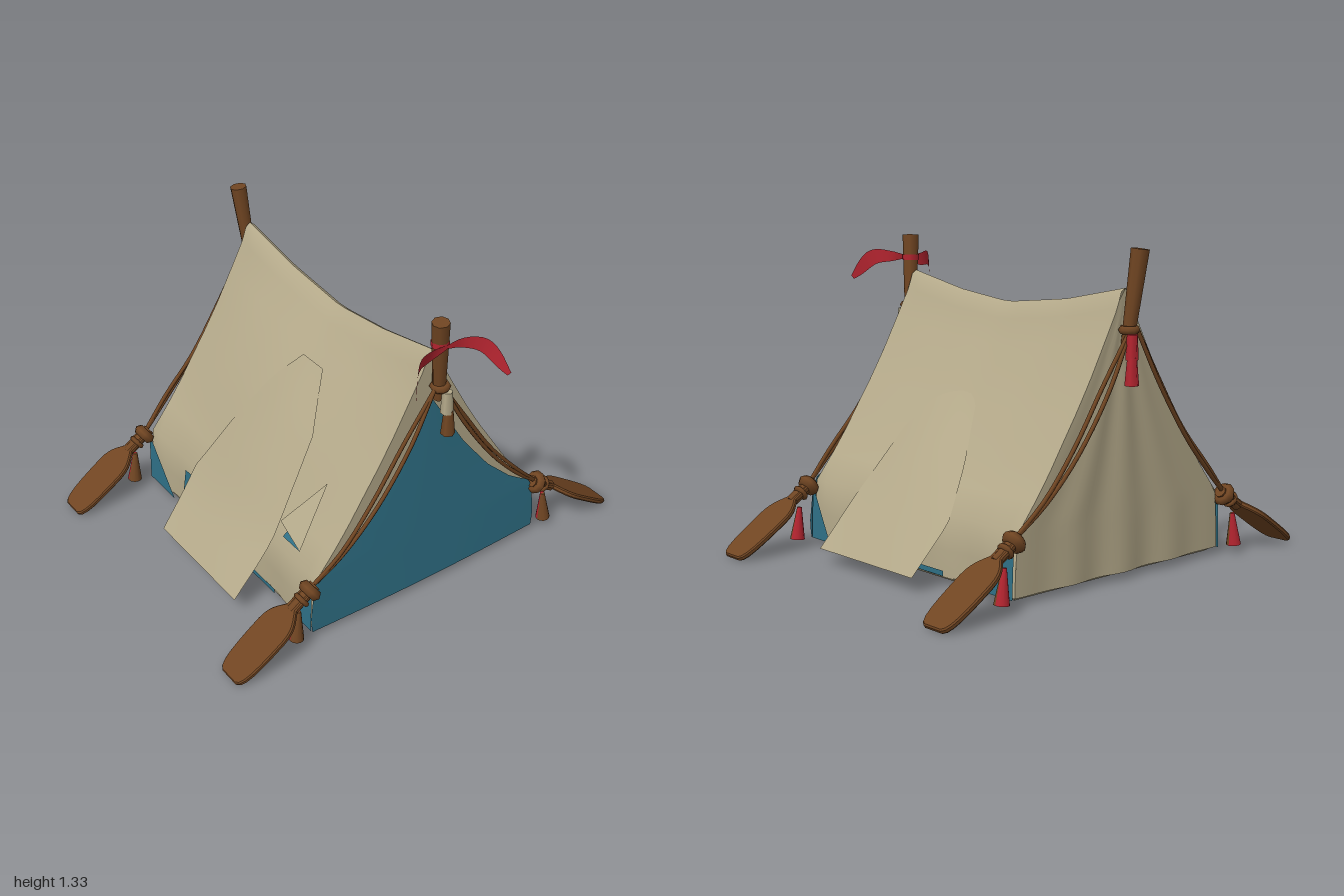
import * as THREE from 'three';
import { toCreasedNormals } from 'three/addons/utils/BufferGeometryUtils.js';

const material = (name, color) => {
  const m = new THREE.MeshStandardMaterial({ color, side: THREE.DoubleSide });
  m.name = name;
  return m;
};
const canvas = material('canvas', 0xb3a889);
const blue = material('blueCloth', 0x2f7086);
const wood = material('wood', 0x704522);
const red = material('redCloth', 0xb3242f);

const V = (x, y, z) => new THREE.Vector3(x, y, z);

// Surface patch from a rule f(u, v), both 0..1
function patch(nu, nv, f) {
  const pos = [], idx = [];
  for (let j = 0; j <= nv; j++)
    for (let i = 0; i <= nu; i++) pos.push(...f(i / nu, j / nv));
  for (let j = 0; j < nv; j++)
    for (let i = 0; i < nu; i++) {
      const a = j * (nu + 1) + i, b = a + nu + 1;
      idx.push(a, a + 1, b, a + 1, b + 1, b);
    }
  const g = new THREE.BufferGeometry();
  g.setAttribute('position', new THREE.Float32BufferAttribute(pos, 3));
  g.setIndex(idx);
  return toCreasedNormals(g, 0.7);
}

// Linear interpolation through [key, value] pairs with rising keys
function lerp(table, k) {
  for (let i = 1; i < table.length; i++) {
    const [k0, a] = table[i - 1], [k1, b] = table[i];
    if (k <= k1) return a + (b - a) * Math.max(0, (k - k0) / (k1 - k0));
  }
  return table[table.length - 1][1];
}

const FRONT = 0.57, BACK = -0.73;
// Half width of the tent and of the front panel by height
const tentWidth = [[0.04, 0.584], [0.15, 0.58], [0.29, 0.567], [0.4, 0.478], [0.5, 0.405], [0.6, 0.34],
  [0.71, 0.267], [0.83, 0.193], [0.98, 0.11], [1.1, 0.045], [1.165, 0.022], [1.18, 0]];
const panelWidth = [[0.035, 0.595], [0.1, 0.602], [0.29, 0.578], [0.37, 0.45], [0.5, 0.31],
  [0.68, 0.17], [0.95, 0]];
const ridge = [[BACK, 1.18], [-0.4, 1.115], [-0.05, 1.08], [0.25, 1.115], [FRONT, 1.18]];

export function createModel() {
  const root = new THREE.Group();
  const add = (name, geo, mat, parent = root) => {
    const m = new THREE.Mesh(geo, mat);
    m.name = name;
    parent.add(m);
    return m;
  };
  const triangle = (name, a, b, c, mat) => {
    const g = new THREE.BufferGeometry().setFromPoints([a, b, c]);
    g.computeVertexNormals();
    return add(name, g, mat);
  };

  // Canvas roof and low walls with a sagging ridge, one side billowing out
  const n = tentWidth.length - 1;
  add('canvasRoof', patch(2 * n, 20, (u, v) => {
    const k = Math.round(u * 2 * n) - n;
    const [y, w] = tentWidth[n - Math.abs(k)];
    const z = BACK + (FRONT - BACK) * v;
    const h = lerp(ridge, z);
    const slope = Math.max(0, (y - 0.29) / 0.89);
    const billow = k < 0 ? 0.055 * Math.sin(Math.PI * v) * Math.sin(Math.PI * slope) : 0;
    const wave = y < 0.2 ? 0.005 * Math.sin(v * 23) : 0;
    const top = y > 0.29 ? 0.29 + slope * (h - 0.29) : y;
    return [Math.sign(k) * (w + wave + billow), top + billow * 0.6, z];
  }), canvas);

  // End walls: canvas hem and blue panel in front, pleated canvas at the back
  const gable = (name, table, z, nx, ripple, mat) => {
    const lo = table[0][0], hi = table[table.length - 1][0];
    add(name, patch(nx, 24, (u, v) => {
      const y = lo + (hi - lo) * v;
      return [(2 * u - 1) * lerp(table, y), y, z + ripple(u, v)];
    }), mat);
  };
  gable('frontHem', tentWidth, FRONT, 8, () => 0, canvas);
  gable('backWall', tentWidth, BACK, 32,
    (u, v) => -0.01 * Math.sin(Math.PI * u) * (1 + Math.cos(u * Math.PI * 8)) * (1 - v), canvas);
  gable('frontPanel', panelWidth, FRONT + 0.009, 24,
    (u, v) => 0.012 * Math.sin(Math.PI * u) * (1 - v), blue);

  // Ground sheet, tucked in underneath
  const floorGeo = new THREE.BoxGeometry(1.17, 0.025, FRONT - BACK);
  const fp = floorGeo.attributes.position;
  for (let i = 0; i < fp.count; i++)
    if (fp.getY(i) < 0) fp.setXYZ(i, fp.getX(i) * 0.94, fp.getY(i), fp.getZ(i) * 0.94);
  floorGeo.computeVertexNormals();
  const floor = add('groundSheet', floorGeo, canvas);
  floor.position.set(0, 0.032, (FRONT + BACK) / 2);

  for (const s of [-1, 1]) {
    // Blue lining showing at the corners and along the foot
    const low = s * 0.597, high = s * 0.588;
    triangle('frontCornerLining', V(high, 0.27, FRONT), V(low, 0.035, FRONT), V(low, 0.035, 0.44), blue);
    triangle('backCornerLining', V(high, 0.27, BACK), V(low, 0.035, BACK), V(low, 0.035, -0.52), blue);
    add('sideLining', patch(1, 1, (u, v) => [s * 0.594, 0.045 + 0.022 * v, 0.3 - 0.62 * u]), blue);

    // Loose flap draped over each side, flaring at its foot
    const path = new THREE.CatmullRomCurve3(s < 0
      ? [V(0.18, 0.9, 0), V(0.3, 0.73, 0), V(0.45, 0.5, 0), V(0.6, 0.28, 0), V(0.78, 0.09, 0)]
      : [V(0.215, 0.735, 0), V(0.35, 0.56, 0), V(0.47, 0.41, 0), V(0.585, 0.27, 0), V(0.76, 0.07, 0)]);
    const zMin = [[0, s < 0 ? -0.06 : -0.11], [0.15, -0.16], [0.4, -0.26], [0.7, -0.35], [1, s < 0 ? -0.3 : -0.33]];
    const zMax = [[0, s < 0 ? 0.08 : 0.15], [0.25, 0.21], [0.7, 0.27], [1, 0.28]];
    add('sideFlap', patch(12, 16, (u, v) => {
      const p = path.getPointAt(v);
      const a = lerp(zMin, v), b = lerp(zMax, v);
      const lift = 0.015 * Math.sin(Math.PI * u) * Math.sin(Math.PI * v);
      return [s * (p.x + lift), p.y + lift, a + (b - a) * u];
    }), canvas);
  }

  // Lining showing behind the flap on one side, and a lifted slit beside it
  add('liningPatch', patch(1, 1, (u, v) =>
    [-0.6 + 0.012 * v, 0.06 + 0.2 * v, -0.33 - 0.11 * u + 0.03 * v]), blue);
  const slitTop = V(-0.4, 0.615, 0.42), slitFront = V(-0.57, 0.37, 0.46), slitBack = V(-0.57, 0.37, 0.34);
  triangle('slitLining', slitTop, slitBack, slitFront, blue);
  triangle('slitCover', slitTop, slitFront, V(-0.575, 0.45, 0.335), canvas);

  // Paddle blade with a rounded, tapering outline
  const outline = new THREE.Shape();
  outline.moveTo(0, -0.025);
  outline.lineTo(0.1, -0.025);
  outline.bezierCurveTo(0.14, -0.06, 0.16, -0.083, 0.22, -0.085);
  outline.bezierCurveTo(0.37, -0.085, 0.455, -0.08, 0.463, -0.045);
  outline.lineTo(0.463, 0.045);
  outline.bezierCurveTo(0.455, 0.08, 0.37, 0.085, 0.22, 0.085);
  outline.bezierCurveTo(0.16, 0.083, 0.14, 0.06, 0.1, 0.025);
  outline.lineTo(0, 0.025);
  const bladeGeo = new THREE.ExtrudeGeometry(outline,
    { depth: 0.012, bevelSize: 0.005, bevelThickness: 0.006, bevelSegments: 1, curveSegments: 6 });
  bladeGeo.rotateX(-Math.PI / 2);

  for (const [end, z, out] of [['front', 0.58, 1], ['back', -0.748, -1]]) {
    for (const s of [-1, 1]) {
      // Corner paddle with its lashing
      const corner = new THREE.Group();
      corner.name = end + 'Paddle';
      corner.position.set(s * 0.605, 0.268, z);
      if (s < 0) corner.rotation.y = Math.PI;
      root.add(corner);
      const paddle = new THREE.Group();
      paddle.name = 'paddle';
      paddle.rotation.z = -0.585;
      corner.add(paddle);
      add('blade', bladeGeo, wood, paddle);
      const shaft = add('shaft', new THREE.CylinderGeometry(0.026, 0.024, 0.14, 8), wood, paddle);
      shaft.rotation.z = Math.PI / 2;
      shaft.position.x = 0.04;
      for (const [px, r] of [[0, 0.026], [0.05, 0.012]]) {
        const ring = add('lashing', new THREE.TorusGeometry(0.026, r, 6, 10), wood, paddle);
        ring.rotation.y = Math.PI / 2;
        ring.position.x = px;
      }

      // Hanging tassel, brown in front and red behind
      for (const half of [0, 1]) {
        const cone = add('cornerTassel', new THREE.CylinderGeometry(0.01, 0.032, 0.14, 6, 1, false,
          half * Math.PI - Math.PI / 2, Math.PI), half ? red : wood);
        cone.position.set(s * 0.665, 0.11, z - 0.005);
        cone.rotation.z = s * 0.1;
      }

      // Pair of guy ropes from the pole to the corner
      for (const k of [0, 1]) {
        const rope = new THREE.CatmullRomCurve3([V(s * 0.02, 1.02, z + out * 0.03),
          V(s * (0.14 + k * 0.02), 0.8 + k * 0.01, z + out * (0.04 - k * 0.02)),
          V(s * 0.31, 0.56 + k * 0.03, z + out * (0.038 - k * 0.018)),
          V(s * 0.47, 0.39 + k * 0.02, z + out * 0.025), V(s * 0.6, 0.28, z)]);
        add('guyRope', new THREE.TubeGeometry(rope, 16, 0.009, 6), wood);
      }
    }

    // Leaning, tapered ridge pole with its lashing
    const foot = V(0.018, 0.96, z + out * 0.012), tip = V(-0.014, 1.335, z + out * 0.045);
    const axis = tip.clone().sub(foot);
    const pole = add(end + 'Pole', new THREE.CylinderGeometry(0.037, 0.025, axis.length(), 8), wood);
    pole.position.copy(foot).addScaledVector(axis, 0.5);
    pole.quaternion.setFromUnitVectors(V(0, 1, 0), axis.normalize());
    const ring = add('poleLashing', new THREE.TorusGeometry(0.026, 0.018, 6, 10), wood);
    ring.rotation.x = Math.PI / 2;
    ring.position.set(0.016, 1.02, z + out * 0.02);

    // Cloth tassel hanging from the pole
    const tassel = add('poleTassel', new THREE.CylinderGeometry(0.02, 0.03, 0.11, 6), out > 0 ? wood : red);
    tassel.position.set(0.035, 0.86, z + out * 0.055);
    const wrap = add('tasselWrap', new THREE.CylinderGeometry(0.022, 0.027, 0.1, 6), out > 0 ? canvas : red);
    wrap.position.set(0.03, 0.955, z + out * 0.05);
  }

  // Red ribbon tied round the front pole
  const band = add('ribbonBand', new THREE.CylinderGeometry(0.037, 0.037, 0.025, 8, 1, true), red);
  band.position.set(-0.006, 1.235, 0.616);
  const tails = [
    [V(0, 1.235, 0.655), V(-0.09, 1.22, 0.655), V(-0.165, 1.22, 0.69), V(-0.23, 1.125, 0.755)],
    [V(0, 1.235, 0.655), V(0.06, 1.24, 0.67), V(0.12, 1.235, 0.73), V(0.165, 1.14, 0.83)],
  ];
  for (const pts of tails) {
    const c = new THREE.CatmullRomCurve3(pts);
    const s = Math.sign(pts[3].x);
    add('ribbonTail', patch(2, 14, (u, v) => {
      const p = c.getPointAt(v);
      const w = (u - 0.5) * (0.012 + 0.05 * Math.sin(Math.PI * Math.min(1, v * 0.95 + 0.03)));
      return [p.x + w * 0.5 * s * v, p.y + w, p.z + w * 0.7 * v];
    }), red);
  }
  return root;
}
